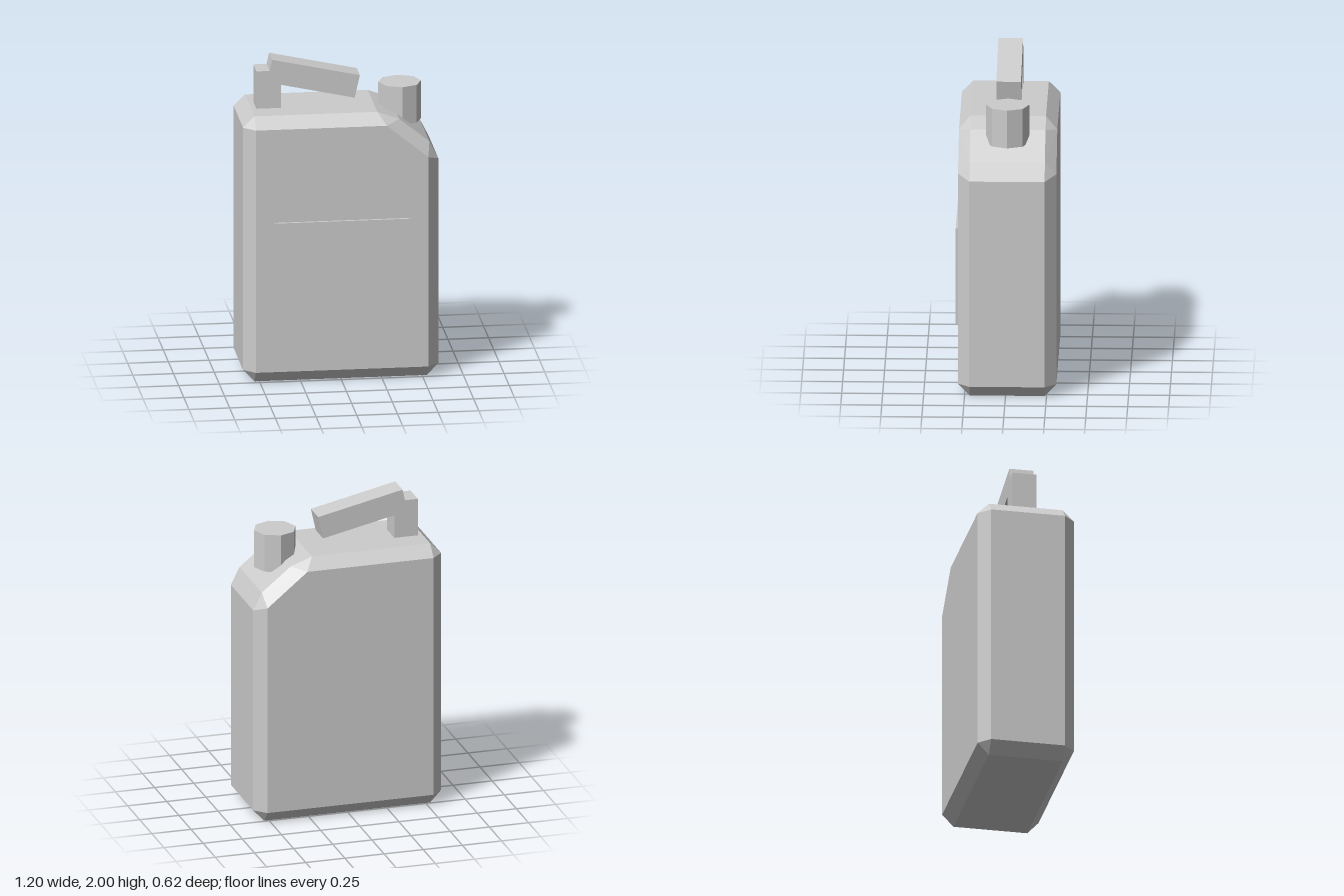
import * as THREE from 'three';
import { ConvexGeometry } from 'three/addons/geometries/ConvexGeometry.js';

export function createModel() {
  const model = new THREE.Group();
  model.name = 'fuelCan';
  const grey = new THREE.MeshStandardMaterial({ color: 0xcccccc });
  grey.name = 'lightGrey';
  grey.flatShading = true;
  const midZ = -0.01;

  function add(name, geometry, x = 0, y = 0, z = 0) {
    const mesh = new THREE.Mesh(geometry, grey);
    mesh.name = name;
    mesh.position.set(x, y, z);
    model.add(mesh);
    return mesh;
  }

  // Body: wide bevelled outline in the middle, smaller outline on the front and back faces
  const rim = [
    [-0.53, 0], [0.53, 0], [0.6, 0.075], [0.6, 1.38], [0.545, 1.49],
    [0.36, 1.64], [0.225, 1.69], [-0.53, 1.69], [-0.6, 1.62], [-0.6, 0.075],
  ];
  const face = [[-0.53, 0.075], [0.53, 0.075], [0.53, 1.41], [0.275, 1.62], [-0.53, 1.62]];
  const points = [];
  for (const side of [-1, 1]) {
    for (const [x, y] of rim) points.push(new THREE.Vector3(x, y, side * 0.23));
    for (const [x, y] of face) points.push(new THREE.Vector3(x, y, side * 0.3));
  }
  add('body', new ConvexGeometry(points), 0, 0, midZ);

  // Raised label panel on the front
  add('labelPanel', new THREE.BoxGeometry(0.84, 0.605, 0.03), 0, 0.725, 0.292);

  // Eight-sided cap sunk into the sloping shoulder
  add('cap', new THREE.CylinderGeometry(0.132, 0.132, 0.24, 8), 0.391, 1.69, midZ);

  // Handle: upright post and sloping grip
  add('handlePost', new THREE.BoxGeometry(0.15, 0.24, 0.15), -0.424, 1.808, midZ);
  const grip = add('handleGrip', new THREE.BoxGeometry(0.552, 0.146, 0.15), -0.148, 1.868, midZ);
  grip.rotation.z = THREE.MathUtils.degToRad(-12.4);

  return model;
}
